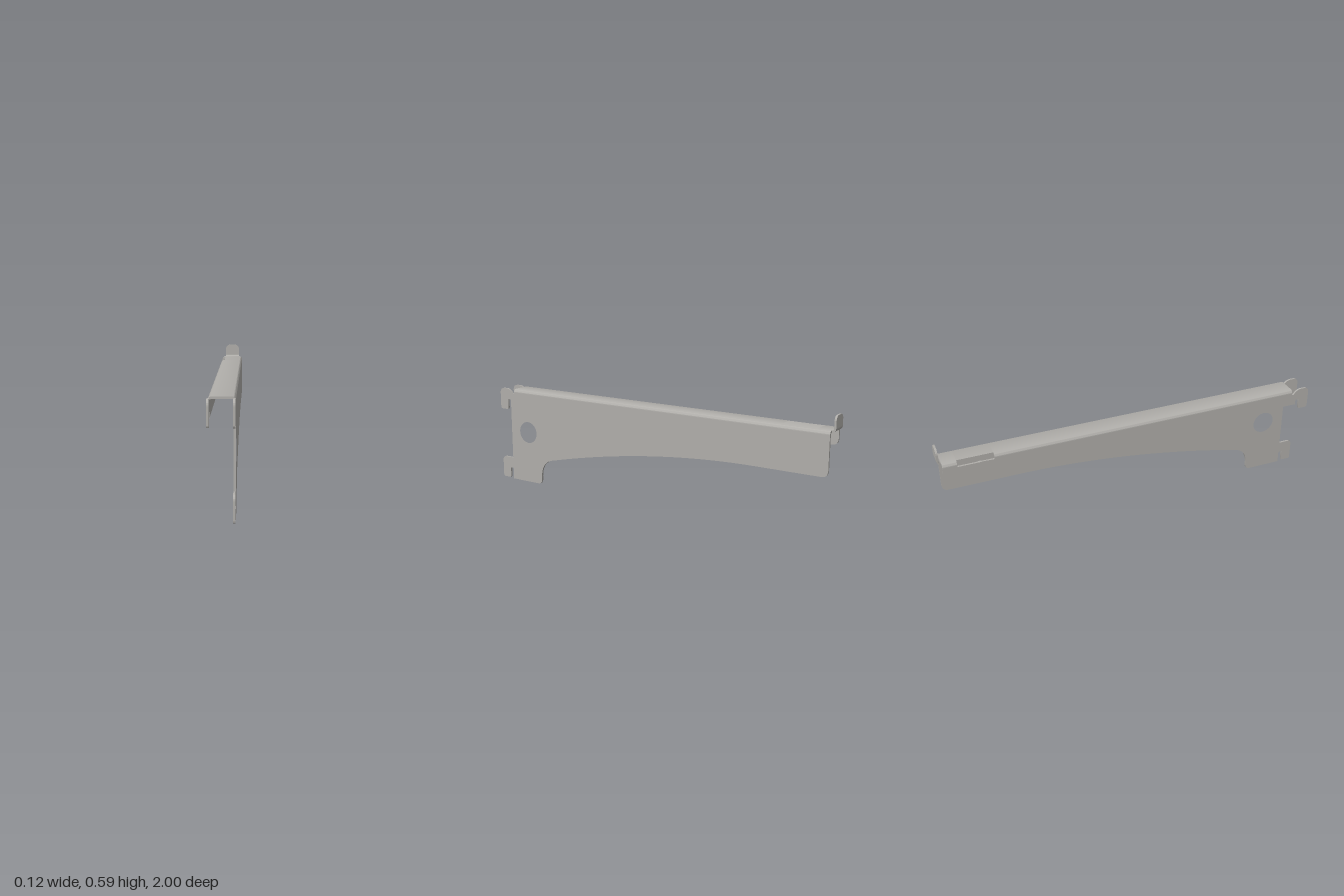
import * as THREE from 'three';
import { toCreasedNormals } from 'three/addons/utils/BufferGeometryUtils.js';

const T = 0.01;            // sheet thickness
const TOP = 0.524;         // top of the web
const R = 0.018;           // outer bend radius
const HALF = 0.06;         // half width of the channel
const SPRING = TOP - R;    // where the bends meet the side plates
const BACK = -0.98, FRONT = 0.9;

const steel = new THREE.MeshStandardMaterial({ color: 0xb0aeaa });
steel.name = 'steel grey';

function extrude(shape, depth) {
  const g = new THREE.ExtrudeGeometry(shape, { depth, bevelEnabled: false, curveSegments: 20 });
  return toCreasedNormals(g, 0.5);
}

function add(group, name, geometry) {
  const mesh = new THREE.Mesh(geometry, steel);
  mesh.name = name;
  group.add(mesh);
}

// Outline drawn as (z, y), extruded across x from xMin
function sidePlate(shape, xMin, width = T) {
  return extrude(shape, width).rotateY(-Math.PI / 2).translate(xMin + width, 0, 0);
}

function circleHole(z, y, r) {
  return new THREE.Path().absarc(z, y, r, 0, Math.PI * 2, true);
}

// Upper hook, from the top of the plate round to its front edge
function upperHook(s) {
  s.lineTo(FRONT, 0.5);
  s.quadraticCurveTo(0.906, 0.492, 0.912, 0.5);
  s.quadraticCurveTo(0.93, 0.524, 0.955, 0.524);
  s.lineTo(0.97, 0.524);
  s.quadraticCurveTo(1, 0.524, 1, 0.494);
  hookTail(s, 0.405);
}

// Hanging tail and the slot behind it
function hookTail(s, bottom) {
  s.lineTo(1, bottom + 0.012);
  s.quadraticCurveTo(1, bottom, 0.988, bottom);
  s.lineTo(0.957, bottom);
  s.quadraticCurveTo(0.945, bottom, 0.945, bottom + 0.012);
  s.lineTo(0.945, bottom + 0.058);
  s.lineTo(0.925, bottom + 0.058);
}

// Large bracket plate
function bracketShape() {
  const s = new THREE.Shape();
  s.moveTo(BACK, SPRING);
  s.lineTo(FRONT, SPRING);
  upperHook(s);
  s.lineTo(0.925, 0.125);
  s.lineTo(0.975, 0.125);
  s.quadraticCurveTo(1, 0.125, 1, 0.1);
  hookTail(s, 0.005);
  s.lineTo(0.925, 0);
  s.lineTo(0.745, 0);
  s.quadraticCurveTo(0.715, 0, 0.715, 0.03);
  s.lineTo(0.715, 0.045);
  s.quadraticCurveTo(0.712, 0.128, 0.64, 0.147);
  s.quadraticCurveTo(-0.014, 0.305, -0.6, 0.305);
  s.lineTo(BACK + 0.035, 0.305);
  s.quadraticCurveTo(BACK, 0.305, BACK, 0.34);
  s.closePath();
  s.holes.push(circleHole(0.805, 0.287, 0.06));
  return s;
}

// Short flange with a cut for the slot in its top edge
function flangeShape() {
  const s = new THREE.Shape();
  s.moveTo(BACK, SPRING);
  s.lineTo(-0.91, SPRING);
  s.lineTo(-0.91, 0.497);
  s.lineTo(-0.73, 0.497);
  s.lineTo(-0.73, SPRING);
  s.lineTo(FRONT, SPRING);
  upperHook(s);
  s.lineTo(0.925, 0.435);
  s.lineTo(BACK + 0.035, 0.435);
  s.quadraticCurveTo(BACK, 0.435, BACK, 0.47);
  s.closePath();
  s.holes.push(circleHole(-0.8, 0.467, 0.032));
  return s;
}

// Cross-section of the web with its rounded bends
function webShape(leftBend, rightBend) {
  const c = HALF - R;
  const s = new THREE.Shape();
  s.moveTo(-c, TOP);
  s.lineTo(c, TOP);
  if (leftBend) {
    s.absarc(c, SPRING, R, Math.PI / 2, 0, true);
    s.lineTo(HALF - T, SPRING);
    s.absarc(c, SPRING, R - T, 0, Math.PI / 2, false);
  } else s.lineTo(c, TOP - T);
  s.lineTo(-c, TOP - T);
  if (rightBend) {
    s.absarc(-c, SPRING, R - T, Math.PI / 2, Math.PI, false);
    s.lineTo(-HALF, SPRING);
    s.absarc(-c, SPRING, R, Math.PI, Math.PI / 2, true);
  }
  s.closePath();
  return s;
}

// Upright end tab with rounded top corners
function tabShape(bottom) {
  const w = 0.04, top = 0.594, r = 0.025;
  const s = new THREE.Shape();
  s.moveTo(-w, bottom);
  s.lineTo(w, bottom);
  s.lineTo(w, top - r);
  s.absarc(w - r, top - r, r, 0, Math.PI / 2, false);
  s.lineTo(-w + r, top);
  s.absarc(-w + r, top - r, r, Math.PI / 2, Math.PI, false);
  s.closePath();
  return s;
}

// Quarter bend from the web up into the tab
function tabBendShape() {
  const y = TOP + T;
  const s = new THREE.Shape();
  s.moveTo(BACK, y - 2 * T);
  s.absarc(BACK, y, 2 * T, -Math.PI / 2, -Math.PI, true);
  s.lineTo(BACK - T, y);
  s.absarc(BACK, y, T, Math.PI, Math.PI * 1.5, false);
  s.closePath();
  return s;
}

export function createModel() {
  const model = new THREE.Group();
  model.name = 'shelfBracket';

  add(model, 'bracketPlate', sidePlate(bracketShape(), HALF - T));
  add(model, 'shortFlange', sidePlate(flangeShape(), -HALF));

  // Web in three lengths, the middle one open at the slot
  const lengths = [[BACK, -0.91, true], [-0.91, -0.73, false], [-0.73, FRONT, true]];
  for (const [z0, z1, bend] of lengths) {
    add(model, bend ? 'topWeb' : 'slottedTopWeb',
      extrude(webShape(true, bend), z1 - z0).translate(0, 0, z0));
  }

  add(model, 'endTab', extrude(tabShape(TOP + T), T).translate(0, 0, BACK - 2 * T));
  add(model, 'endTabBend', sidePlate(tabBendShape(), -0.04, 0.08));
  return model;
}
